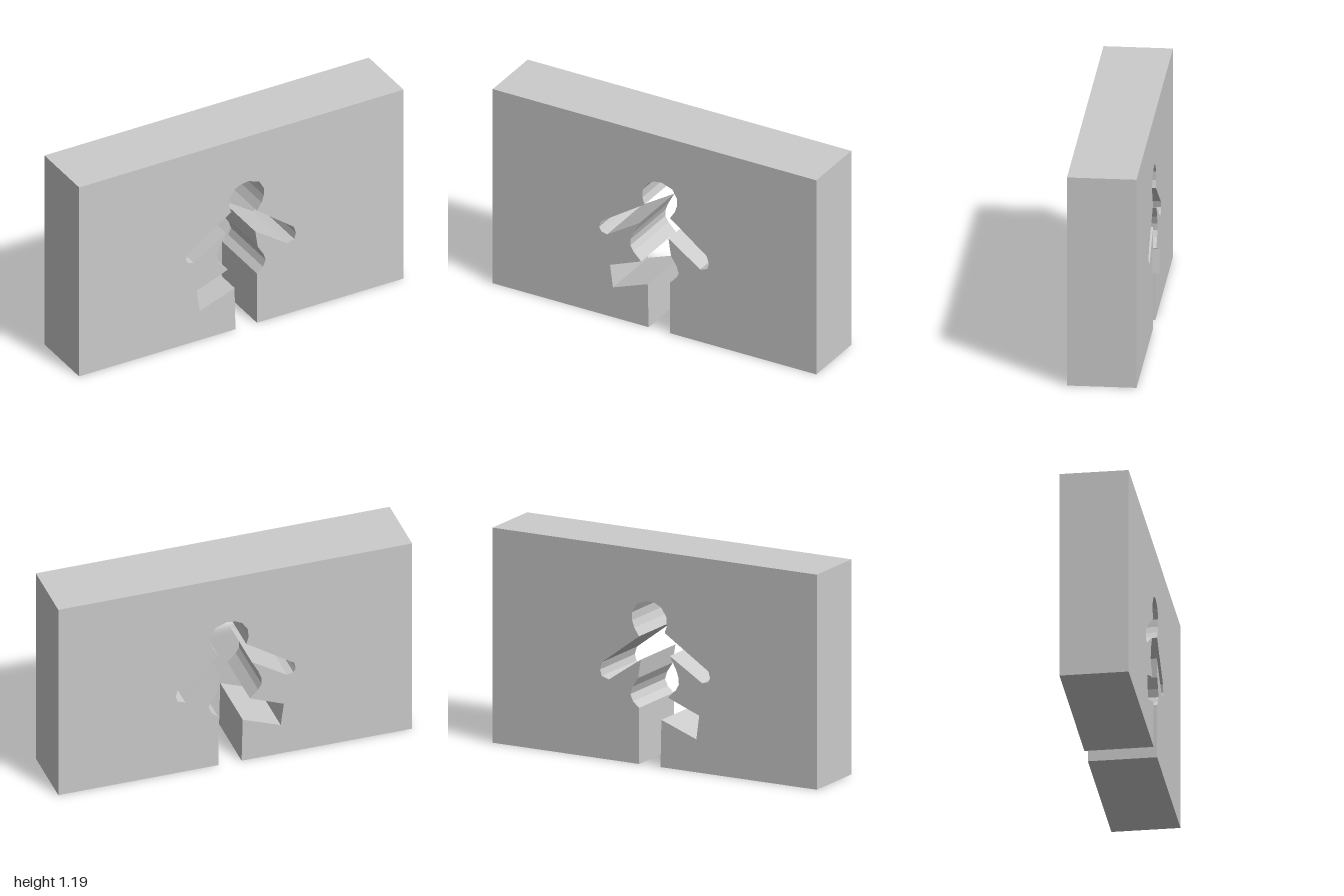
import * as THREE from 'three';

const HEIGHT = 1.19, DEPTH = 0.374;

// Edge of the running-figure opening, from the left foot round to the right foot
const leg = [[-0.036, 0], [-0.042, 0.262], [-0.257, 0.182], [-0.275, 0.315], [-0.083, 0.39]];
const hipAndWaist = [[-0.13, 0.437], [-0.149, 0.47], [-0.147, 0.51], [-0.13, 0.555], [-0.093, 0.622]];
const raisedArm = [[-0.293, 0.497], [-0.329, 0.506], [-0.342, 0.53], [-0.332, 0.567], [-0.062, 0.745]];
const head = [[-0.075, 0.785], [-0.072, 0.835], [-0.04, 0.883], [-0.003, 0.902], [0.045, 0.908],
  [0.11, 0.885], [0.139, 0.835], [0.139, 0.79], [0.125, 0.75], [0.096, 0.706]];
const otherArm = [[0.323, 0.535], [0.336, 0.492], [0.326, 0.457], [0.283, 0.443], [0.086, 0.578]];
const otherSide = [[0.102, 0.475], [0.136, 0.422], [0.15, 0.38], [0.133, 0.342], [0.096, 0.31], [0.096, 0]];

export function createModel() {
  const group = new THREE.Group();
  group.name = 'wallWithFigureOpening';

  // Wall outline; the opening reaches the ground, so it is part of the outline
  const opening = [...leg, ...hipAndWaist, ...raisedArm, ...head, ...otherArm, ...otherSide];
  const outline = [[-1, 0], ...opening, [1, 0], [1, HEIGHT], [-1, HEIGHT]];
  const shape = new THREE.Shape(outline.map(([x, y]) => new THREE.Vector2(x, y)));

  const geometry = new THREE.ExtrudeGeometry(shape, { depth: DEPTH, bevelEnabled: false });
  geometry.translate(0, 0, -DEPTH / 2);
  const material = new THREE.MeshStandardMaterial({ color: 0xcccccc, flatShading: true });
  const wall = new THREE.Mesh(geometry, material);
  wall.name = 'wall';
  group.add(wall);
  return group;
}
